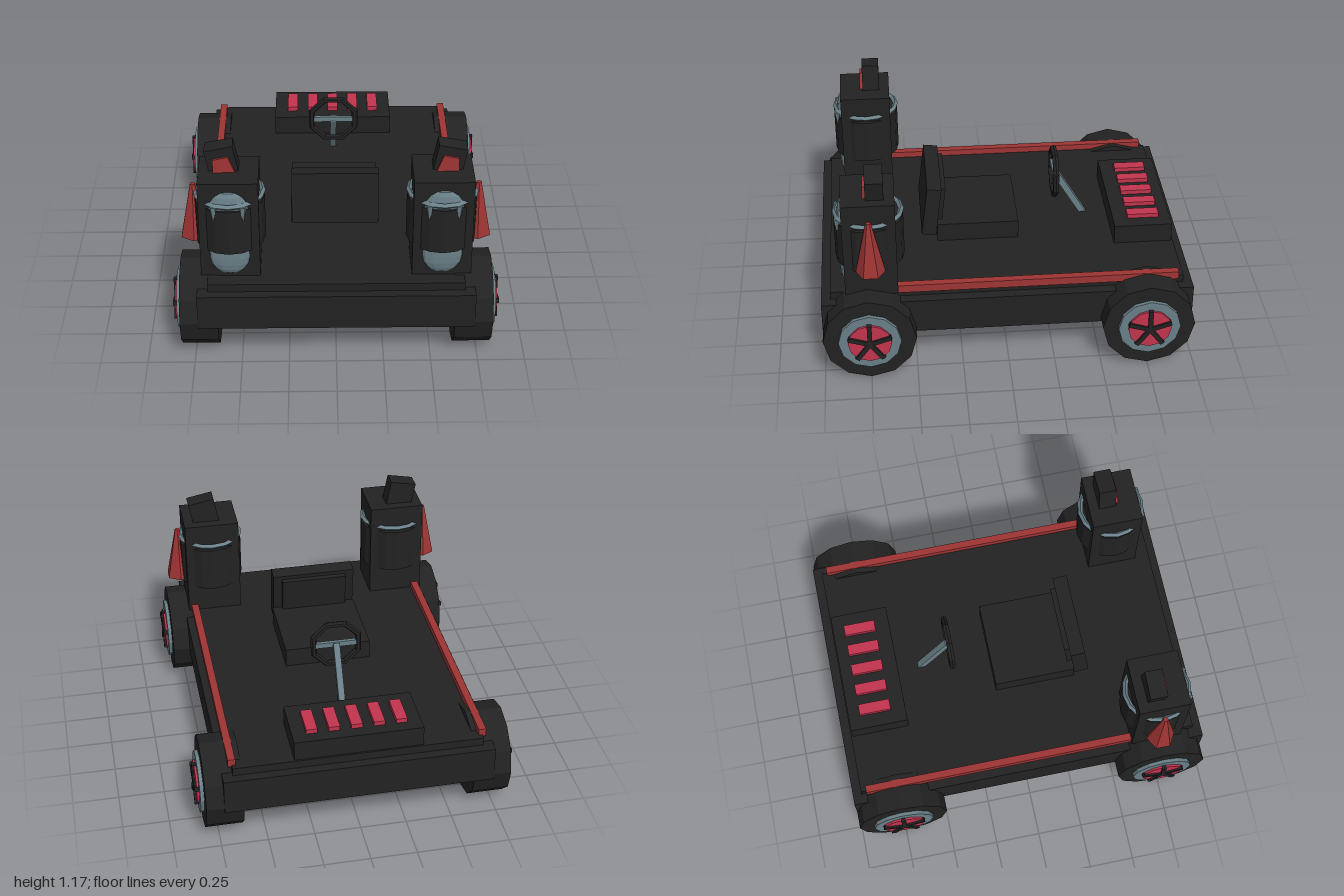
import * as THREE from 'three';

export function createModel() {
  const root = new THREE.Group();
  root.name = 'kart';

  const paint = (name, color) => {
    const m = new THREE.MeshStandardMaterial({ color, flatShading: true });
    m.name = name;
    return m;
  };
  const black = paint('black', 0x222222);
  const steel = paint('steel', 0x6a8088);
  const rust = paint('rust red', 0x9e3434);
  const crimson = paint('crimson', 0xc2344e);

  const add = (parent, name, geo, mat, x = 0, y = 0, z = 0) => {
    const mesh = new THREE.Mesh(geo, mat);
    mesh.name = name;
    mesh.position.set(x, y, z);
    parent.add(mesh);
    return mesh;
  };
  const box = (w, h, d) => new THREE.BoxGeometry(w, h, d);
  const group = (name, x = 0, y = 0, z = 0) => {
    const g = new THREE.Group();
    g.name = name;
    g.position.set(x, y, z);
    root.add(g);
    return g;
  };

  // Chassis and deck
  add(root, 'chassis', box(1.45, 0.2, 2), black, 0, 0.32, 0);
  add(root, 'deck', box(1.34, 0.05, 1.9), black, 0, 0.44, 0);

  // Console with five buttons
  add(root, 'console', box(0.69, 0.115, 0.32), black, 0, 0.518, -0.78);
  for (let i = -2; i <= 2; i++) {
    add(root, 'button', box(0.06, 0.04, 0.175), crimson, i * 0.12, 0.58, -0.788);
  }

  // Seat with a tilted backrest
  add(root, 'seatCushion', box(0.48, 0.11, 0.45), black, 0, 0.517, 0.13);
  const back = group('backrest', 0, 0.652, 0.385);
  back.rotation.x = -0.12;
  add(back, 'backPanel', box(0.47, 0.295, 0.08), black);
  add(back, 'backPad', box(0.37, 0.24, 0.035), black, 0, 0.005, -0.05);

  // Steering wheel, crossbar and column
  const rimGeo = new THREE.TorusGeometry(0.133, 0.018, 6, 8);
  rimGeo.rotateZ(Math.PI / 8);
  add(root, 'steeringWheel', rimGeo, black, 0, 0.735, -0.317);
  add(root, 'steeringCrossbar', box(0.25, 0.03, 0.02), steel, 0, 0.735, -0.317);
  const from = new THREE.Vector3(0, 0.74, -0.32);
  const to = new THREE.Vector3(0, 0.45, -0.492);
  const dir = from.clone().sub(to);
  const column = add(root, 'steeringColumn', box(0.035, dir.length(), 0.035), steel);
  column.position.copy(from).lerp(to, 0.5);
  column.quaternion.setFromUnitVectors(new THREE.Vector3(0, 1, 0), dir.normalize());

  // Wheel built with its outer side towards +x
  const disc = (r, width, sides) => new THREE.CylinderGeometry(r, r, width, sides).rotateZ(-Math.PI / 2);
  const addWheel = (side, z) => {
    const w = group('wheel', side * 0.72, 0.25, z);
    if (side < 0) w.rotation.y = Math.PI;
    add(w, 'tire', disc(0.25, 0.2, 12), black);
    add(w, 'rim', disc(0.168, 0.04, 12), steel, 0.1, 0, 0);
    add(w, 'hubDisc', disc(0.117, 0.05, 12), crimson, 0.107, 0, 0);
    for (let i = 0; i < 5; i++) {
      const spoke = box(0.03, 0.12, 0.025).translate(0, 0.06, 0).rotateX((i * Math.PI * 2) / 5);
      add(w, 'spoke', spoke, black, 0.128, 0, 0);
    }
  };

  // Corner tower with a tank, ring, lamp, horn and tilted head
  const addTower = (side) => {
    const t = group('tower', side * 0.55, 0, 0.727);
    add(t, 'towerBody', box(0.31, 0.56, 0.28), black, 0, 0.745, 0);
    add(t, 'tank', new THREE.CylinderGeometry(0.183, 0.183, 0.255, 16), black, 0, 0.753, 0);
    const ring = new THREE.TorusGeometry(0.173, 0.015, 4, 16).rotateX(Math.PI / 2);
    add(t, 'ring', ring, steel, 0, 0.905, 0);

    const lamp = new THREE.CapsuleGeometry(0.105, 0.29, 4, 12);
    add(t, 'frontLamp', lamp, steel, 0, 0.73, 0.137).scale.z = 0.27;
    for (const s of [-1, 1]) {
      const fang = new THREE.ConeGeometry(0.022, 0.12, 5).rotateX(Math.PI);
      add(t, 'fang', fang, steel, s * 0.075, 0.845, 0.16);
    }

    add(t, 'horn', new THREE.CylinderGeometry(0.014, 0.078, 0.305, 6), rust, side * 0.188, 0.793, 0);

    const head = new THREE.Group();
    head.name = 'head';
    head.position.set(side * 0.032, 1.065, -0.037);
    head.rotation.z = -side * 0.19;
    t.add(head);
    add(head, 'headBlock', box(0.15, 0.18, 0.095), black);
    const snout = new THREE.CylinderGeometry(0.057, 0.092, 0.13, 4).rotateY(Math.PI / 4).scale(1, 1, 0.25);
    add(head, 'snout', snout, rust, 0, -0.025, 0.05);
  };

  for (const side of [-1, 1]) {
    addWheel(side, 0.75);
    addWheel(side, -0.75);
    addTower(side);
    add(root, 'sideRail', box(0.04, 0.045, 1.67), rust, side * 0.67, 0.478, -0.085);
  }
  return root;
}
